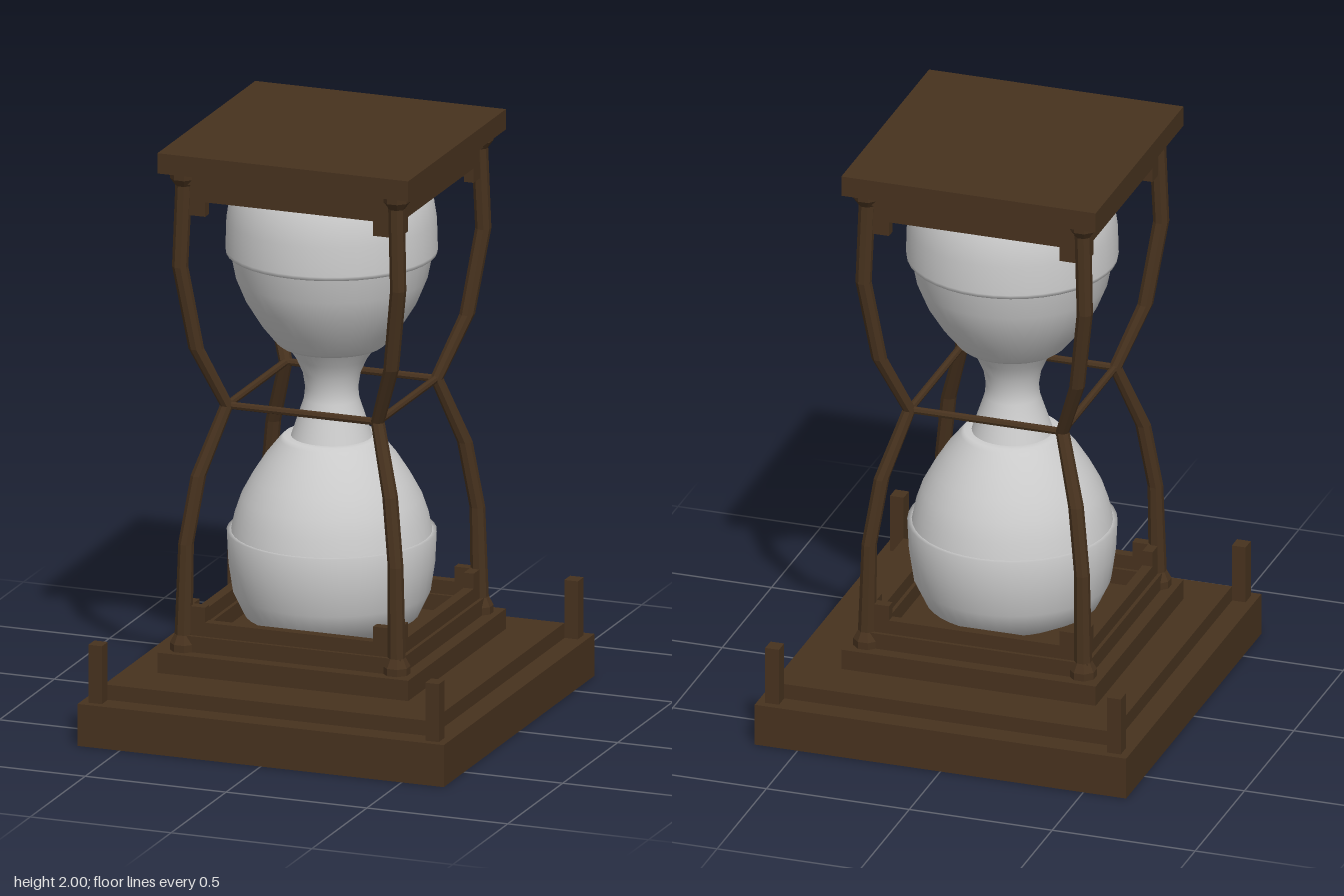
import * as THREE from 'three';

const wood = new THREE.MeshStandardMaterial({ color: 0x47321e, flatShading: true });
const glass = new THREE.MeshStandardMaterial({ color: 0xcccccc, side: THREE.DoubleSide });

function add(parent, name, geometry, material = wood) {
  const mesh = new THREE.Mesh(geometry, material);
  mesh.name = name;
  parent.add(mesh);
  return mesh;
}

// Box given by width, depth and its bottom and top heights
function slab(parent, name, w, d, y0, y1, x = 0, z = 0) {
  const mesh = add(parent, name, new THREE.BoxGeometry(w, y1 - y0, d));
  mesh.position.set(x, (y0 + y1) / 2, z);
  return mesh;
}

function lathe(parent, name, points) {
  const profile = points.map(([r, y]) => new THREE.Vector2(r, y));
  return add(parent, name, new THREE.LatheGeometry(profile, 40), glass);
}

// Straight-jointed post: an octagonal section swept through [offset, height, radius] rows
function postGeometry(rows, sx, sz) {
  const sides = 8, pos = [], index = [];
  rows.forEach(([o, y, r], i) => {
    for (let k = 0; k < sides; k++) {
      const a = ((k + 0.5) / sides) * Math.PI * 2;
      pos.push(sx * o + Math.cos(a) * r, y, sz * o + Math.sin(a) * r);
      if (i === 0) continue;
      const n = (k + 1) % sides, a0 = (i - 1) * sides, a1 = i * sides;
      index.push(a0 + k, a1 + k, a0 + n, a0 + n, a1 + k, a1 + n);
    }
  });
  const g = new THREE.BufferGeometry();
  g.setAttribute('position', new THREE.Float32BufferAttribute(pos, 3));
  g.setIndex(index);
  g.computeVertexNormals();
  return g;
}

const corners = [[1, 1], [1, -1], [-1, -1], [-1, 1]];

export function createModel() {
  const model = new THREE.Group();
  model.name = 'hourglass';

  // Stepped base with four corner pegs
  const base = new THREE.Group();
  base.name = 'base';
  model.add(base);
  slab(base, 'baseBlock', 1.3, 1.37, 0, 0.145);
  slab(base, 'baseStep', 1.15, 1.21, 0.145, 0.197);
  for (const [sx, sz] of corners) {
    slab(base, 'cornerPeg', 0.048, 0.053, 0.145, 0.345, sx * 0.598, sz * 0.632);
  }

  const timer = new THREE.Group();
  timer.name = 'timer';
  timer.position.set(-0.016, 0, -0.002);
  model.add(timer);

  // Square end plates
  slab(timer, 'bottomPlate', 0.89, 0.89, 0.205, 0.275);
  slab(timer, 'topPlate', 0.89, 0.89, 1.93, 2.0);

  // Rails with small corner brackets on all four sides
  for (let i = 0; i < 4; i++) {
    const side = new THREE.Group();
    side.name = 'frameSide';
    side.rotation.y = (i * Math.PI) / 2;
    timer.add(side);
    slab(side, 'bottomMoulding', 0.8, 0.06, 0.275, 0.33, 0, 0.37);
    slab(side, 'bottomRail', 0.74, 0.035, 0.33, 0.378, 0, 0.37);
    slab(side, 'topMoulding', 0.8, 0.06, 1.888, 1.93, 0, 0.37);
    slab(side, 'topRail', 0.74, 0.035, 1.83, 1.888, 0, 0.37);
    for (const s of [-1, 1]) {
      slab(side, 'bottomBracket', 0.06, 0.035, 0.378, 0.43, s * 0.328, 0.37);
      slab(side, 'topBracket', 0.06, 0.035, 1.78, 1.83, s * 0.328, 0.37);
    }
    // Waist rod between neighbouring posts
    const rod = add(side, 'waistRod', new THREE.CylinderGeometry(0.013, 0.013, 0.534, 8));
    rod.rotation.z = Math.PI / 2;
    rod.position.set(0, 1.1, 0.267);
  }

  // Bent corner posts with flared feet and caps
  const rows = [
    [0.378, 0.275, 0.046], [0.378, 0.3, 0.046], [0.378, 0.33, 0.03],
    [0.372, 0.64, 0.026], [0.34, 0.87, 0.026], [0.268, 1.1, 0.023],
    [0.346, 1.31, 0.026], [0.387, 1.6, 0.027], [0.378, 1.88, 0.028],
    [0.378, 1.905, 0.046], [0.378, 1.93, 0.046],
  ];
  for (const [sx, sz] of corners) add(timer, 'post', postGeometry(rows, sx, sz));

  // Glass: two cups, two domes and the neck
  lathe(timer, 'lowerCup', [[0, 0.275], [0.2, 0.29], [0.29, 0.34], [0.328, 0.42],
    [0.343, 0.52], [0.348, 0.625], [0.328, 0.625]]);
  lathe(timer, 'lowerDome', [[0.334, 0.62], [0.322, 0.68], [0.3, 0.745], [0.265, 0.81],
    [0.22, 0.88], [0.172, 0.94], [0.16, 0.952], [0.13, 0.952]]);
  lathe(timer, 'neck', [[0.137, 0.945], [0.112, 1.02], [0.092, 1.08], [0.088, 1.12],
    [0.096, 1.17], [0.118, 1.22], [0.152, 1.27]]);
  lathe(timer, 'upperDome', [[0.14, 1.268], [0.172, 1.268], [0.185, 1.278], [0.235, 1.34],
    [0.285, 1.42], [0.318, 1.5], [0.336, 1.59]]);
  lathe(timer, 'upperCup', [[0.33, 1.587], [0.35, 1.587], [0.352, 1.6], [0.349, 1.7],
    [0.335, 1.79], [0.295, 1.865], [0.2, 1.915], [0, 1.93]]);

  return model;
}
